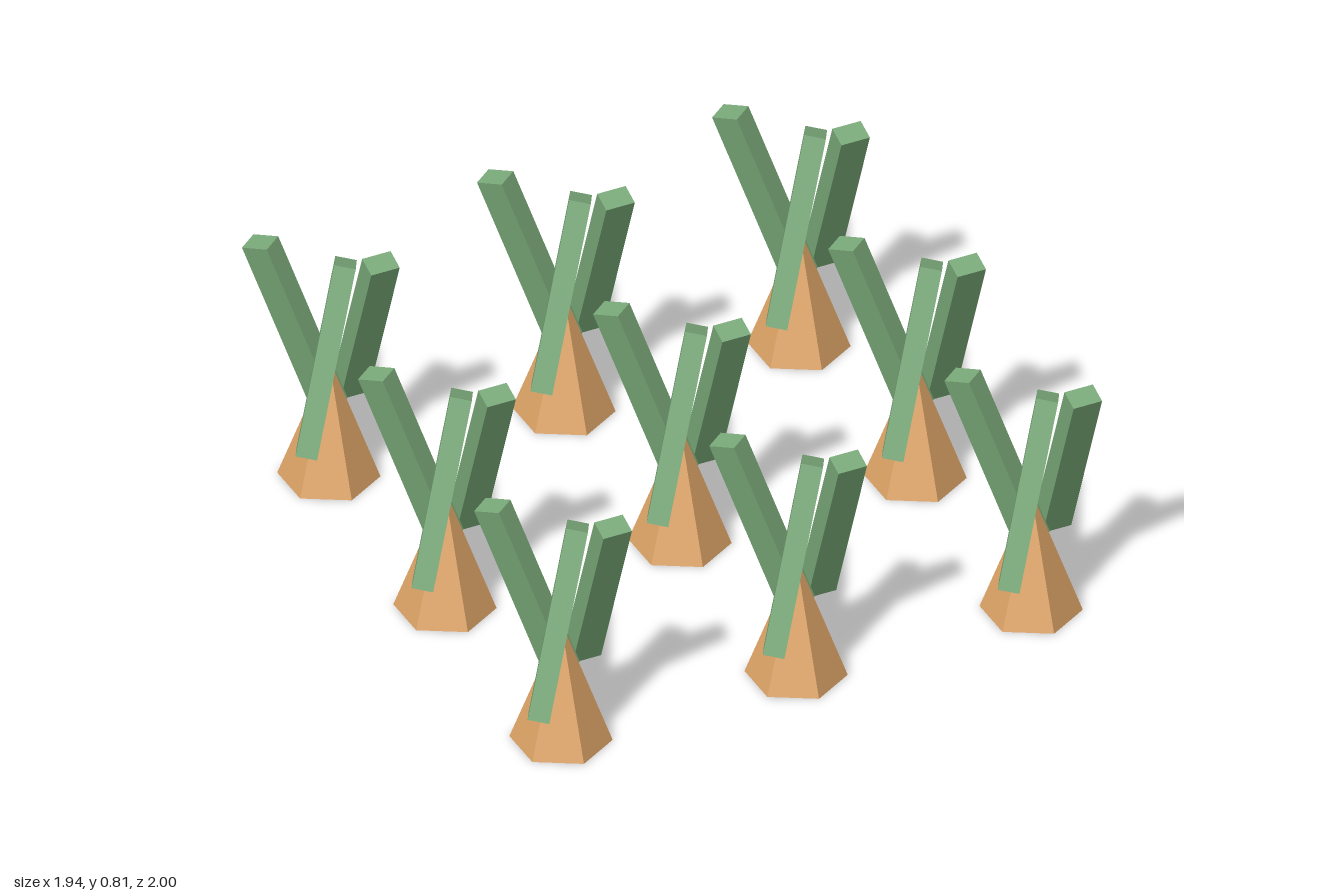
import * as THREE from 'three';

const SPACING = 0.785;
const LEAN = 0.348;

export function createModel() {
  const model = new THREE.Group();
  model.name = 'cropPatch';

  const rootMat = new THREE.MeshStandardMaterial({ color: 0xdea568, flatShading: true });
  const leafMat = new THREE.MeshStandardMaterial({ color: 0x7bab7a, flatShading: true });
  const rootGeo = new THREE.ConeGeometry(0.155, 0.42, 6);
  const leafGeo = new THREE.BoxGeometry(0.095, 0.611, 0.066);

  // One plant: a six-sided root cone with three leaning leaves around it
  function makePlant() {
    const plant = new THREE.Group();
    plant.name = 'plant';

    const root = new THREE.Mesh(rootGeo, rootMat);
    root.name = 'root';
    root.position.y = 0.21;
    plant.add(root);

    for (let i = 0; i < 3; i++) {
      const a = (i * Math.PI * 2) / 3;
      const leaf = new THREE.Mesh(leafGeo, leafMat);
      leaf.name = 'leaf';
      leaf.position.set(0.1225 * Math.cos(a), 0.5025, 0.1225 * Math.sin(a));
      // Turn the leaf to face outward, then lean it
      const leanAxis = new THREE.Vector3(Math.cos(a), 0, -Math.sin(a));
      leaf.quaternion.setFromAxisAngle(leanAxis, LEAN);
      leaf.rotateY(-a);
      plant.add(leaf);
    }
    return plant;
  }

  // Three by three grid of plants
  for (let row = -1; row <= 1; row++) {
    for (let col = -1; col <= 1; col++) {
      const plant = makePlant();
      plant.position.set(0.015 + col * SPACING, 0, row * SPACING);
      model.add(plant);
    }
  }
  return model;
}
